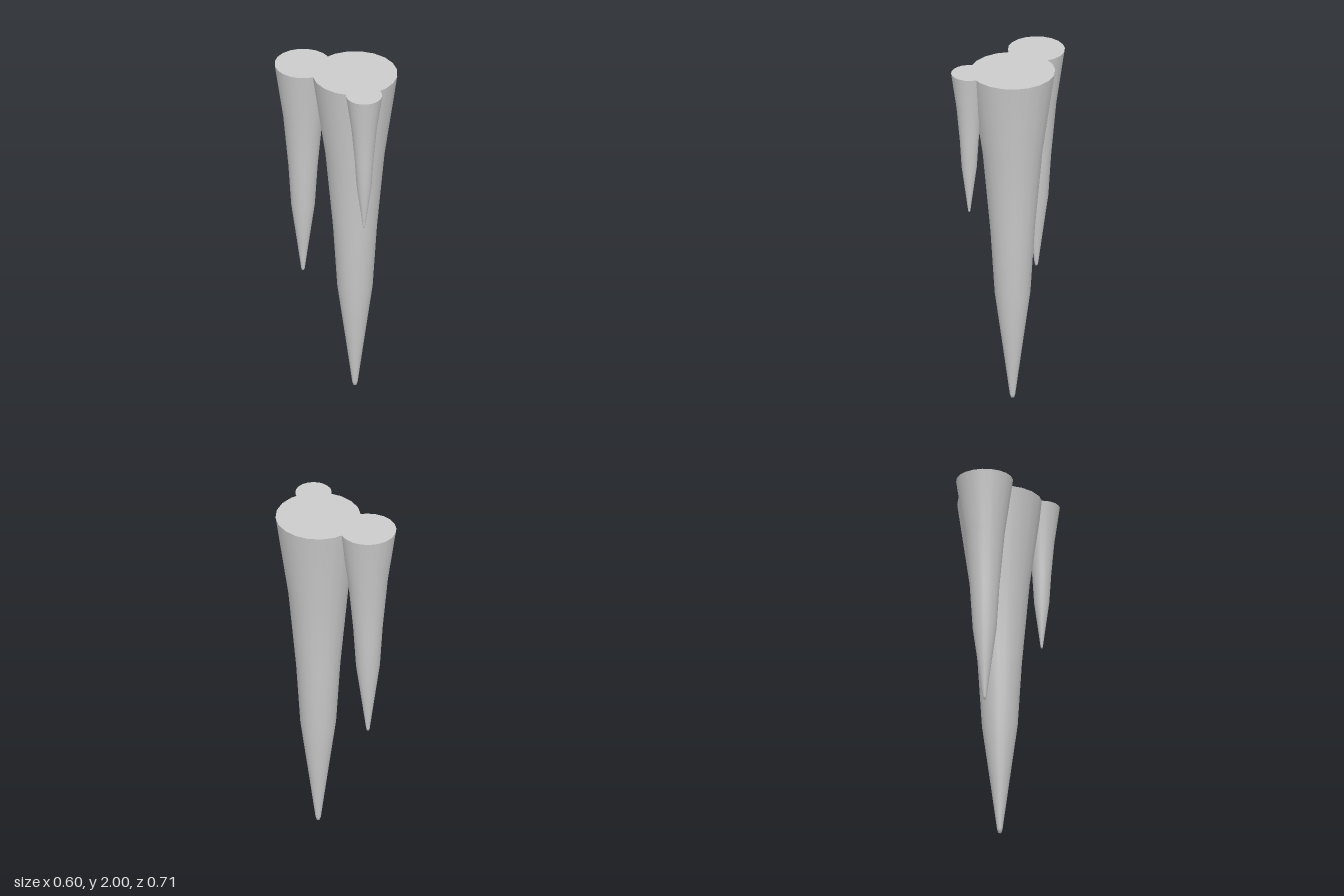
import * as THREE from 'three';

const SIDES = 20;
const TOP = 2;

// Shared silhouette, tip to root: [radius share, height share]
const PROFILE = [
  [0, 0], [0.04, 0.002], [0.065, 0.012], [0.22, 0.15],
  [0.42, 0.325], [0.52, 0.515], [0.7, 0.75], [1, 1],
];

function createIcicle(name, x, z, radius, length, material) {
  const icicle = new THREE.Group();
  icicle.name = name;
  icicle.position.set(x, TOP - length, z);

  // Tapering smooth body
  const points = PROFILE.map(([r, h]) => new THREE.Vector2(r * radius, h * length));
  const body = new THREE.Mesh(new THREE.LatheGeometry(points, SIDES), material);
  body.name = name + 'Body';

  // Flat root face
  const cap = new THREE.Mesh(new THREE.CircleGeometry(radius, SIDES).rotateX(-Math.PI / 2), material);
  cap.name = name + 'Cap';
  cap.position.y = length;

  icicle.add(body, cap);
  return icicle;
}

export function createModel() {
  const model = new THREE.Group();
  model.name = 'icicleCluster';
  const material = new THREE.MeshStandardMaterial({ color: 0xcccccc });
  model.add(
    createIcicle('largeIcicle', 0.063, 0.023, 0.235, 2, material),
    createIcicle('mediumIcicle', -0.143, -0.2, 0.157, 1.325, material),
    createIcicle('smallIcicle', 0, 0.254, 0.1, 0.85, material),
  );
  return model;
}
